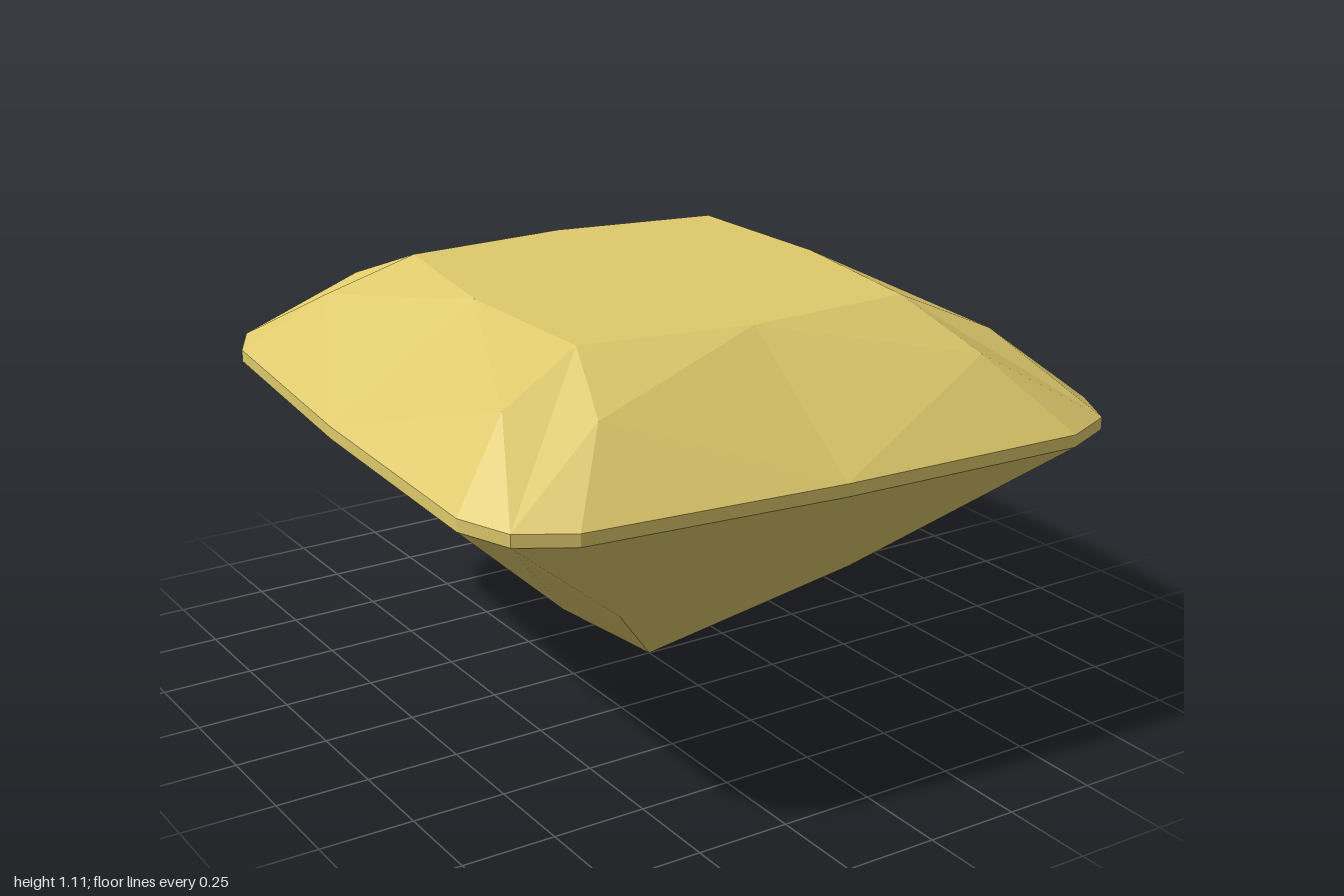
import * as THREE from 'three';

const gold = new THREE.MeshStandardMaterial({ color: 0xdec96c, flatShading: true });
gold.name = 'golden yellow';

// Half outlines; the other half is the same turned by 180 degrees about y.
const GIRDLE = [[0.915, 0.06], [0.845, 0.79], [0.77, 0.935], [0.62, 1],
  [-0.07, 0.97], [-0.757, 0.9], [-0.89, 0.82], [-0.945, 0.67]];
const TABLE = [[0.51, 0.03], [0.435, 0.52], [-0.04, 0.543], [-0.5, 0.457]];
const CROWN = [[0.66, 0.615], [0.49, 0.78], [-0.59, 0.705], [-0.742, 0.525]];

// Full ring of points at height y
function ring(half, y, scale = 1) {
  const full = [...half, ...half.map(([x, z]) => [-x, -z])];
  return full.map(([x, z]) => new THREE.Vector3(x * scale, y, z * scale));
}

// Mesh of triangles, each turned to face away from the stone's inside
function facets(name, triangles) {
  const inside = new THREE.Vector3(0, 0.7, 0);
  const points = [];
  for (const [a, b, c] of triangles) {
    const normal = b.clone().sub(a).cross(c.clone().sub(a));
    const outward = normal.dot(a.clone().sub(inside)) > 0;
    points.push(...(outward ? [a, b, c] : [a, c, b]));
  }
  const geometry = new THREE.BufferGeometry().setFromPoints(points);
  geometry.computeVertexNormals();
  const mesh = new THREE.Mesh(geometry, gold);
  mesh.name = name;
  return mesh;
}

export function createModel() {
  const model = new THREE.Group();
  model.name = 'cutGemstone';

  const table = ring(TABLE, 1.11);
  const crown = ring(CROWN, 1.008);
  const rimTop = ring(GIRDLE, 0.833);
  const rimBottom = ring(GIRDLE, 0.8);
  const pavilion = ring(CROWN, 0.373, 0.64);
  const culet = new THREE.Vector3(0, 0, 0);
  const centre = new THREE.Vector3(0, 1.11, 0);

  const tableFaces = [], crownFaces = [], girdleFaces = [], pavilionFaces = [];
  for (let k = 0; k < 8; k++) {
    const next = (k + 1) % 8;
    const [g0, g1, g2] = [2 * k, 2 * k + 1, (2 * k + 2) % 16];
    tableFaces.push([centre, table[k], table[next]]);

    // Fan of facets around each crown and pavilion point
    const upper = [table[next], table[k], rimTop[g0], rimTop[g1], rimTop[g2]];
    upper.forEach((p, i) => crownFaces.push([crown[k], p, upper[(i + 1) % 5]]));
    const lower = [culet, rimBottom[g0], rimBottom[g1], rimBottom[g2]];
    lower.forEach((p, i) => pavilionFaces.push([pavilion[k], p, lower[(i + 1) % 4]]));
  }

  // Thin upright band around the widest part
  for (let i = 0; i < 16; i++) {
    const j = (i + 1) % 16;
    girdleFaces.push([rimBottom[i], rimTop[i], rimTop[j]], [rimBottom[i], rimTop[j], rimBottom[j]]);
  }

  model.add(
    facets('table', tableFaces),
    facets('crown', crownFaces),
    facets('girdle', girdleFaces),
    facets('pavilion', pavilionFaces)
  );
  return model;
}
